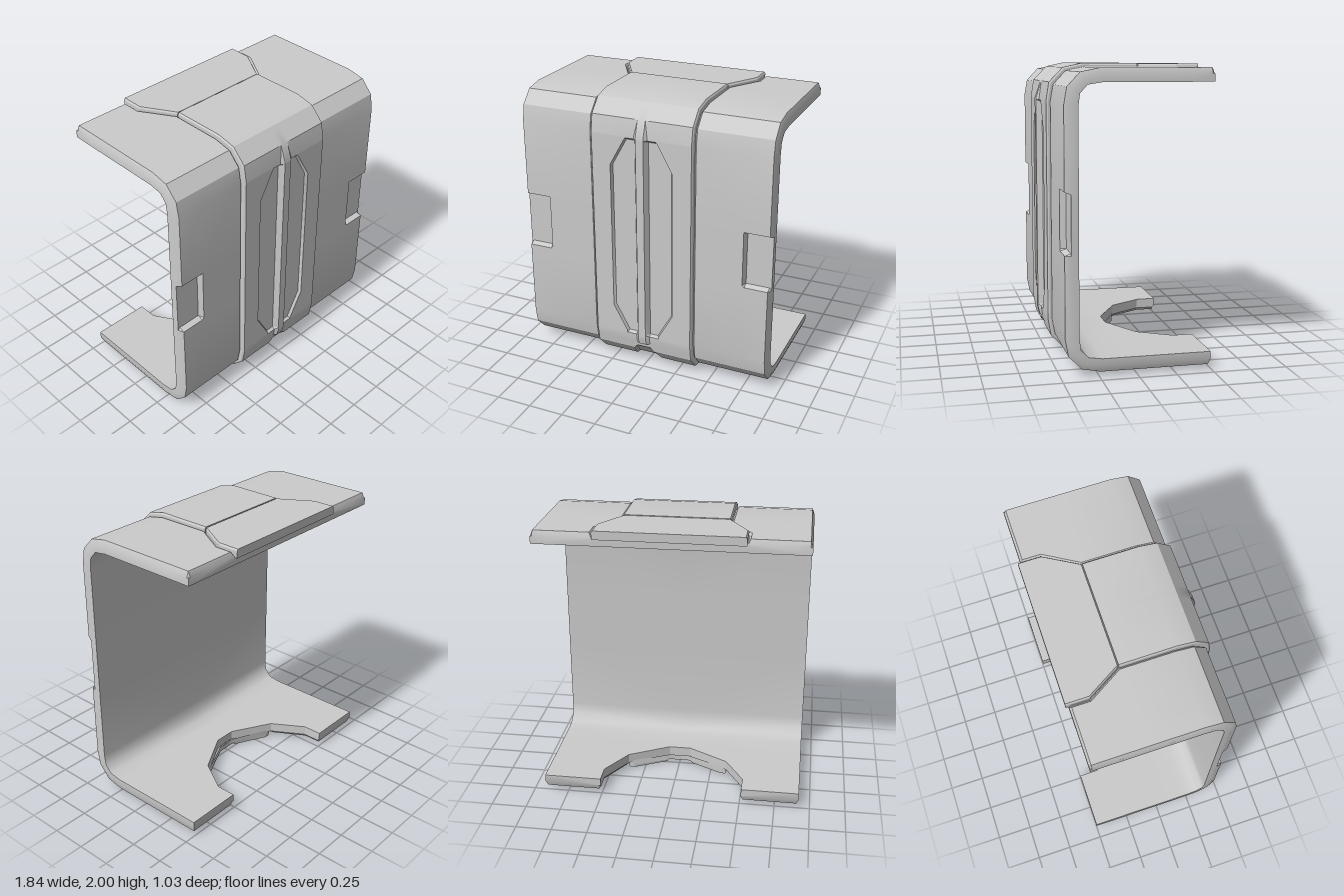
import * as THREE from 'three';
import { toCreasedNormals } from 'three/addons/utils/BufferGeometryUtils.js';

const material = new THREE.MeshStandardMaterial({ color: 0xcccccc });

// Unit direction from station i to the next distinct station (step = 1 or -1)
function heading(stations, i, step) {
  for (let j = i + step; j >= 0 && j < stations.length; j += step) {
    const dz = (stations[j].z - stations[i].z) * step;
    const dy = (stations[j].y - stations[i].y) * step;
    const l = Math.hypot(dz, dy);
    if (l > 1e-6) return [dz / l, dy / l];
  }
  return null;
}

// Sweep a half section of [x, depth below the outer face] along the C-shaped path
function sweep(stations, section, side, crease, capped) {
  const rows = stations.map((s, i) => {
    const a = heading(stations, i, -1) || heading(stations, i, 1);
    const b = heading(stations, i, 1) || a;
    const tz = a[0] + b[0], ty = a[1] + b[1], l = Math.hypot(tz, ty);
    const nz = -ty / l, ny = tz / l;
    return section(s).map(([x, d]) => {
      const depth = Math.max(d, s.k || -1);
      return [side * Math.max(x, s.xin || 0), s.y - ny * depth, s.z - nz * depth];
    });
  });
  const pos = [];
  const tri = (a, b, c) => pos.push(...a, ...(side > 0 ? b : c), ...(side > 0 ? c : b));
  for (let s = 0; s + 1 < rows.length; s++) {
    const p = rows[s], q = rows[s + 1];
    for (let i = 0; i + 1 < p.length; i++) {
      tri(p[i], p[i + 1], q[i]);
      tri(p[i + 1], q[i + 1], q[i]);
    }
  }
  if (capped) {
    const p = rows[0], q = rows[rows.length - 1];
    for (let i = 1; i + 1 < p.length; i++) {
      tri(p[0], p[i + 1], p[i]);
      tri(q[0], q[i], q[i + 1]);
    }
  }
  const geo = new THREE.BufferGeometry();
  geo.setAttribute('position', new THREE.Float32BufferAttribute(pos, 3));
  return toCreasedNormals(geo, crease);
}

function addPair(group, name, stations, section, crease = 0.45, capped = true) {
  for (const side of [1, -1]) {
    const mesh = new THREE.Mesh(sweep(stations, section, side, crease, capped), material);
    mesh.name = name + (side > 0 ? 'Left' : 'Right');
    group.add(mesh);
  }
}

export function createModel() {
  const model = new THREE.Group();
  model.name = 'wrapAroundCover';

  // Shell path: back of the roof, front wall, back of the floor.
  // xg = edge of the groove beside the band, a = depth of the side notch
  const st = (z, y, o = {}) => ({ z, y, xg: 0.385, a: 0, ...o });
  const shell = [
    st(-0.5, 1.975, { xg: 0.525, k: 0.035 }), st(-0.485, 1.975, { xg: 0.525 }),
    st(-0.36, 1.975, { xg: 0.525 }), st(-0.13, 1.975),
    st(0.24, 1.975), st(0.365, 1.95), st(0.45, 1.86), st(0.47, 1.75),
    st(0.47, 1.205), st(0.47, 1.19, { a: 0.04 }),
    st(0.47, 0.815, { a: 0.04 }), st(0.47, 0.8),
    st(0.47, 0.255), st(0.45, 0.145), st(0.365, 0.055), st(0.24, 0.03),
    st(0.03, 0.03), st(0.03, 0.03, { xin: 0.08 }),
    st(-0.13, 0.03, { xin: 0.37, xg: 0.39 }),
    st(-0.36, 0.03, { xin: 0.51, xg: 0.525 }),
    st(-0.485, 0.03, { xin: 0.51, xg: 0.525 }),
    st(-0.5, 0.03, { xin: 0.51, xg: 0.525, k: 0.035 }),
  ];
  const W = 0.92, T = 0.09;
  addPair(model, 'shellOuter', shell, (s) => [
    [W, T], [W, 0.04], [W - 0.015, s.a], [0.74, s.a], [0.725, 0],
    [s.xg, 0], [s.xg - 0.015, 0.02], [0, 0.02], [0, T],
  ]);
  addPair(model, 'shellLining', shell, () => [[0, T], [W, T]], 0.8, false);

  // Raised centre band: recess edge xr, recess depth dr, ridge height h
  const bt = (z, y, o = {}) => ({ z, y, xb: 0.37, xr: 0.1, dr: 0, h: 0, ...o });
  const wall = (y, o) => bt(0.495, y, { h: 0.02, ...o });
  const channel = { xr: 0.085, dr: 0.02, h: -0.02 };
  const band = [
    bt(-0.13, 1.998), bt(0.25, 2), bt(0.38, 1.972), bt(0.475, 1.875),
    wall(1.755, { xr: 0.11 }), wall(1.745, { xr: 0.11 }),
    wall(1.73, { xr: 0.11, dr: 0.02 }), wall(1.54, { xr: 0.215, dr: 0.02 }),
    wall(0.465, { xr: 0.215, dr: 0.02 }), wall(0.275, { xr: 0.11, dr: 0.02 }),
    wall(0.26, { xr: 0.11 }), bt(0.495, 0.25, { h: 0.02 }),
    bt(0.486, 0.195, { h: 0.015 }), bt(0.486, 0.195),
    bt(0.48, 0.16, { xr: 0.05 }), bt(0.475, 0.13, { ...channel, xr: 0.065 }),
    bt(0.38, 0.03, channel), bt(0.25, 0.004, channel),
    bt(0.01, 0.004, channel), bt(0.01, 0.004, { ...channel, xin: 0.07 }),
    bt(-0.11, 0.004, { ...channel, xin: 0.33 }),
  ];
  const bandSection = (s) => [
    [s.xb, 0.06], [s.xb, 0.012], [s.xb - 0.008, 0], [s.xr + 0.012, 0], [s.xr, s.dr],
    [0.05, s.dr], [0.028, -s.h], [0, -s.h], [0, 0.06],
  ];
  addPair(model, 'centreBand', band, bandSection);

  // Flared plate at the back of the roof
  const flare = [
    bt(-0.52, 1.995, { xb: 0.505 }), bt(-0.365, 1.995, { xb: 0.505 }), bt(-0.137, 1.995),
  ];
  addPair(model, 'flaredPlate', flare, bandSection);

  return model;
}
